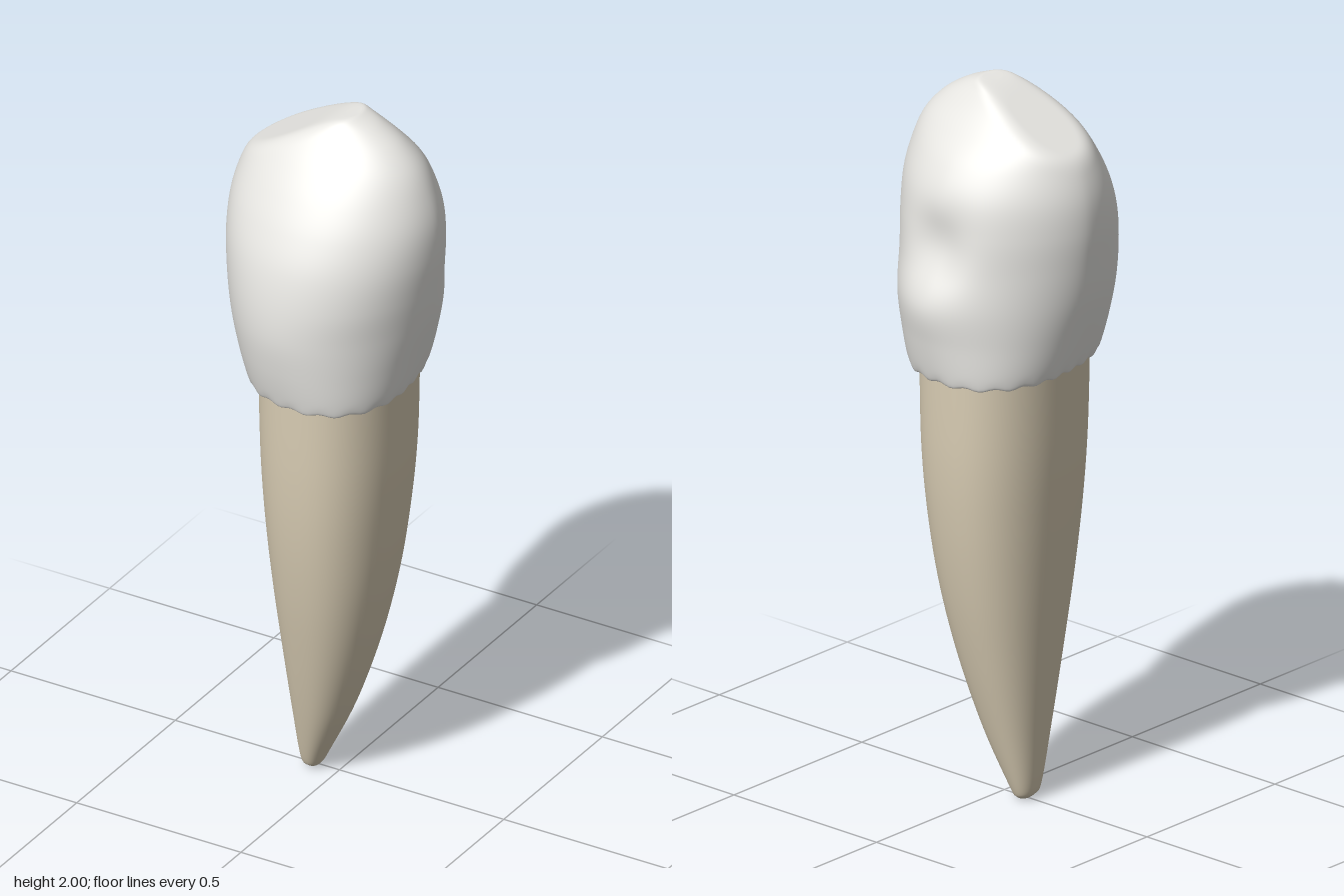
import * as THREE from 'three';

// Smooth interpolation through rows of numbers, t in 0..1
function sampleRows(rows, t) {
  const f = t * (rows.length - 1);
  const i = Math.min(Math.floor(f), rows.length - 2);
  const u = f - i;
  const row = (k) => rows[Math.min(Math.max(k, 0), rows.length - 1)];
  return rows[i].map((_, c) => {
    const a = row(i - 1)[c], b = row(i)[c], d = row(i + 1)[c], e = row(i + 2)[c];
    const m0 = (d - a) / 2, m1 = (e - b) / 2;
    return b + m0 * u + (3 * (d - b) - 2 * m0 - m1) * u * u + (2 * (b - d) + m0 + m1) * u * u * u;
  });
}

// Skin of stacked superelliptic sections.
// Row: [y, xMin, xMax, zFront, zBack, frontPower, backPower, skew]
function loft(rows, rings, segments, deform) {
  const positions = [], indices = [];
  const p = new THREE.Vector3();
  for (let j = 0; j <= rings; j++) {
    const [y, x0, x1, zf, zb, pf, pb, skew] = sampleRows(rows, j / rings);
    const cx = (x0 + x1) / 2;
    const a = Math.max((x1 - x0) / 2, 0.0005);
    for (let i = 0; i < segments; i++) {
      const angle = (i / segments) * Math.PI * 2;
      const s = Math.sin(angle), c = Math.cos(angle);
      const power = c >= 0 ? pf : pb;
      const b = Math.max(c >= 0 ? zf : zb, 0.0005);
      const r = (1 + skew * Math.sin(2 * angle)) *
        Math.pow(Math.pow(Math.abs(s) / a, power) + Math.pow(Math.abs(c) / b, power), -1 / power);
      p.set(cx + r * s, y, r * c);
      if (deform) deform(p, angle);
      positions.push(p.x, p.y, p.z);
      if (j < rings) {
        const n = (i + 1) % segments;
        const q = j * segments, w = q + segments;
        indices.push(q + i, q + n, w + n, q + i, w + n, w + i);
      }
    }
  }
  // Flat caps at both ends
  for (const end of [0, rings]) {
    const [y, x0, x1] = sampleRows(rows, end / rings);
    p.set((x0 + x1) / 2, y, 0);
    if (deform) deform(p, 0);
    const centre = positions.length / 3;
    positions.push(p.x, p.y, p.z);
    for (let i = 0; i < segments; i++) {
      const q = end * segments + i, n = end * segments + ((i + 1) % segments);
      if (end) indices.push(centre, q, n);
      else indices.push(centre, n, q);
    }
  }
  const geometry = new THREE.BufferGeometry();
  geometry.setAttribute('position', new THREE.Float32BufferAttribute(positions, 3));
  geometry.setIndex(indices);
  geometry.computeVertexNormals();
  return geometry;
}

// Crown: sloping biting edge, hollow in the back, slightly scalloped rim
function shapeCrown(p, angle) {
  const edge = 1.99 + 0.57 * p.x;
  const blend = 0.03;
  const h = Math.max(blend - Math.abs(p.y - edge), 0) / blend;
  p.y = Math.min(p.y, edge) - h * h * blend / 4;
  if (p.z < 0) {
    p.z += 0.04 * Math.exp(-((p.x / 0.09) ** 2) - ((p.y - 1.6) / 0.1) ** 2);
  }
  const rim = Math.max(0, 1 - Math.abs(p.y - 1.23) / 0.03);
  p.y += rim * 0.004 * Math.sin(angle * 22);
}

function addPart(group, name, geometry, color) {
  const mesh = new THREE.Mesh(geometry, new THREE.MeshStandardMaterial({ color }));
  mesh.name = name;
  group.add(mesh);
}

export function createModel() {
  const group = new THREE.Group();
  group.name = 'tooth';

  const crownRows = [
    [1.245, -0.19, 0.19, 0.245, 0.245, 2.4, 2.4, 0.06],
    [1.228, -0.212, 0.212, 0.27, 0.27, 2.4, 2.4, 0.06],
    [1.25, -0.226, 0.226, 0.284, 0.284, 2.35, 2.3, 0.05],
    [1.34, -0.25, 0.25, 0.304, 0.302, 2.15, 2.0, 0.02],
    [1.44, -0.273, 0.273, 0.316, 0.318, 2, 1.75, 0],
    [1.54, -0.288, 0.288, 0.311, 0.303, 2, 1.65, 0],
    [1.64, -0.298, 0.298, 0.29, 0.284, 2, 1.65, 0],
    [1.73, -0.295, 0.295, 0.253, 0.257, 2, 1.7, 0],
    [1.81, -0.274, 0.274, 0.208, 0.213, 2, 1.8, 0],
    [1.88, -0.24, 0.24, 0.16, 0.158, 2, 2, 0],
    [1.935, -0.19, 0.188, 0.116, 0.112, 2, 2, 0],
    [1.975, -0.12, 0.125, 0.08, 0.08, 2, 2, 0],
    [1.996, -0.03, 0.075, 0.055, 0.06, 2, 2, 0],
    [2.0, 0.02, 0.06, 0.03, 0.035, 2, 2, 0],
  ];
  addPart(group, 'crown', loft(crownRows, 104, 128, shapeCrown), 0xe8e7e3);

  // Root: tapers and leans toward the right at its tip
  const rootRows = [
    [0, -0.08, -0.07, 0.008, 0.008],
    [0.008, -0.095, -0.055, 0.032, 0.032],
    [0.04, -0.109, -0.037, 0.052, 0.05],
    [0.2, -0.126, 0.038, 0.104, 0.1],
    [0.4, -0.146, 0.104, 0.157, 0.154],
    [0.6, -0.165, 0.149, 0.201, 0.199],
    [0.8, -0.181, 0.176, 0.232, 0.231],
    [1.0, -0.193, 0.192, 0.248, 0.248],
    [1.25, -0.199, 0.198, 0.254, 0.252],
  ].map((row) => [...row, 2.35, 2.35, 0.06]);
  addPart(group, 'root', loft(rootRows, 64, 64), 0xd9cdb4);

  return group;
}
